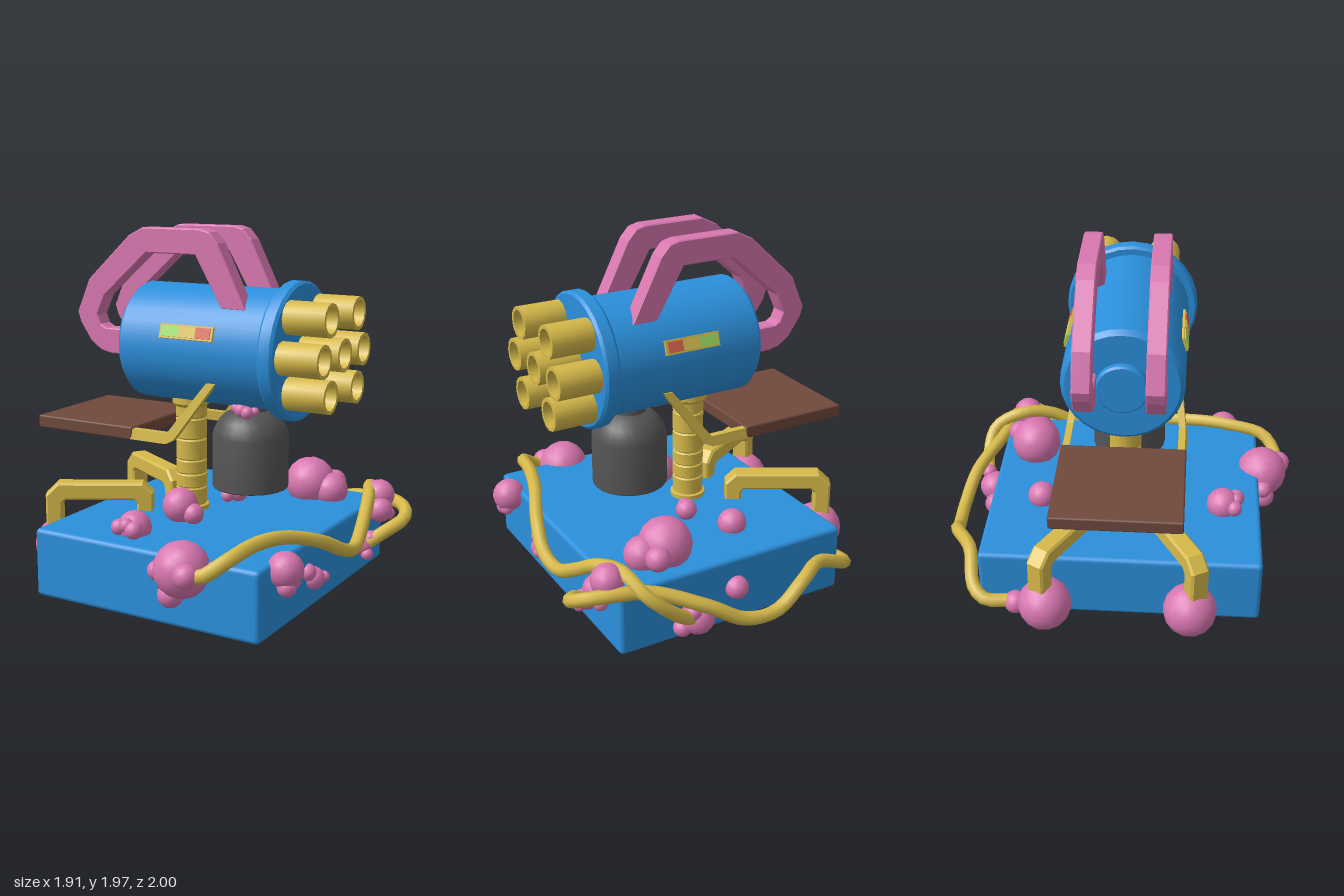
import * as THREE from 'three';
import { toCreasedNormals } from 'three/addons/utils/BufferGeometryUtils.js';
import { RoundedBoxGeometry } from 'three/addons/geometries/RoundedBoxGeometry.js';

const V = (p) => new THREE.Vector3(...p);

export function createModel() {
  const model = new THREE.Group();
  model.name = 'mountedGun';
  const paint = (name, color, flatShading = false) => {
    const m = new THREE.MeshStandardMaterial({ color });
    m.name = name;
    m.flatShading = flatShading;
    return m;
  };
  const blue = paint('blue', 0x2b90dc);
  const gold = paint('gold', 0xd6b94a);
  const pink = paint('pink', 0xd977b0);
  const coral = pink;
  const brown = paint('brown', 0x70493c);
  const grey = paint('darkGrey', 0x555454);
  const green = paint('green', 0x9fe066);
  const yellow = paint('yellow', 0xdcc455);
  const red = paint('red', 0xdc6450);

  const add = (name, geo, mat, x = 0, y = 0, z = 0, parent = model) => {
    const mesh = new THREE.Mesh(geo, mat);
    mesh.name = name;
    mesh.position.set(x, y, z);
    parent.add(mesh);
    return mesh;
  };
  const lathe = (pts, sides) =>
    toCreasedNormals(new THREE.LatheGeometry(pts.map((p) => new THREE.Vector2(...p)), sides), 0.6);
  const latheX = (pts, sides) => lathe(pts, sides).rotateZ(-Math.PI / 2);
  // outline in x/y, extruded and centred in z
  const slab = (pts, depth, bevel = 0) => {
    const g = new THREE.ExtrudeGeometry(new THREE.Shape(pts.map((p) => new THREE.Vector2(...p))), {
      depth: depth - 2 * bevel, bevelEnabled: bevel > 0, bevelSize: bevel,
      bevelOffset: -bevel, bevelThickness: bevel, bevelSegments: 1,
    });
    return g.translate(0, 0, -depth / 2 + bevel);
  };

  const C = 0.017; // z of the gun's axis
  const AX = 1.345; // height of the gun's axis

  // Base block
  add('base', new RoundedBoxGeometry(1.37, 0.38, 1.55, 2, 0.025), blue, 0.035, 0.2, 0.015);

  // Drum body, with rear cap and front flange
  add('drum', latheX([
    [0, -0.45], [0.13, -0.45], [0.14, -0.44], [0.14, -0.41], [0.3, -0.41], [0.325, -0.385],
    [0.325, 0.475], [0.36, 0.475], [0.373, 0.49], [0.373, 0.55], [0.358, 0.565], [0.33, 0.565], [0, 0.565],
  ], 28), blue, 0, AX, C);

  // Seven hollow barrels
  const barrel = latheX([[0.09, 0], [0.09, 0.24], [0.07, 0.24], [0.07, 0.07], [0, 0.07]], 12);
  const barrels = [[0.2, 0.17], [0.2, -0.17], [0, 0.25], [0, 0], [0, -0.245], [-0.195, 0.165], [-0.195, -0.17]];
  barrels.forEach(([y, z]) => add('barrel', barrel, gold, 0.562, AX + y, C + z));

  // Arched handles
  const handleOutline = [
    [-0.39, 1.28], [-0.515, 1.28], [-0.58, 1.295], [-0.645, 1.34], [-0.715, 1.44], [-0.735, 1.5], [-0.655, 1.685],
    [-0.385, 1.935], [-0.295, 1.98], [0.065, 1.98], [0.12, 1.965], [0.17, 1.91], [0.34, 1.57],
    [0.195, 1.57], [0.035, 1.845], [-0.27, 1.845], [-0.55, 1.6], [-0.6, 1.49], [-0.58, 1.44], [-0.545, 1.42], [-0.39, 1.42],
  ].reverse();
  const handle = slab(handleOutline, 0.098, 0.006);

  // Seat arm: thin bent bar leaning in towards the drum
  const armOutline = [[-0.32, 0.835], [-0.085, 0.835], [-0.04, 0.86], [0.188, 1.18], [0.135, 1.18], [-0.085, 0.893], [-0.32, 0.893]];

  // Bent bracket, outline along its own length
  const bracketOutline = [
    [-0.05, 0.22], [0.045, 0.22], [0.045, 0.43], [0.065, 0.45], [0.45, 0.45], [0.465, 0.43], [0.465, 0.37], [0.56, 0.37],
    [0.56, 0.49], [0.5, 0.548], [0.02, 0.548], [-0.05, 0.48],
  ];
  const bracket = slab(bracketOutline, 0.105, 0.012);

  for (const s of [1, -1]) {
    add('handle', handle, pink, 0, 0, C + s * 0.182);

    const arm = slab(armOutline, 0.038);
    const p = arm.attributes.position;
    for (let i = 0; i < p.count; i++) p.setZ(i, p.getZ(i) + s * (0.318 - 0.16 * (p.getY(i) - 0.86)));
    arm.computeVertexNormals();
    add('seatArm', arm, gold, 0, 0, C);

    add('bracket', bracket, gold, -0.785, 0, C + s * 0.415).rotation.y = s * Math.PI / 6;

    // Gauge: gold frame with three coloured plates
    const gauge = new THREE.Group();
    gauge.name = 'gauge';
    gauge.position.set(0.0325, AX + 0.1, C + s * 0.308);
    gauge.rotation.x = -s * 0.31;
    model.add(gauge);
    add('gaugeFrame', new THREE.BoxGeometry(0.325, 0.078, 0.024), gold, 0, 0, 0, gauge);
    [[green, -0.098], [yellow, 0.008], [red, 0.104]].forEach(([m, x], i) =>
      add('gaugePlate', new THREE.BoxGeometry([0.108, 0.104, 0.088][i], 0.058, 0.008), m, x, 0, s * 0.013, gauge));
  }

  // Seat
  add('seat', new RoundedBoxGeometry(0.645, 0.072, 0.682, 1, 0.01), brown, -0.628, 0.866, C);

  // Ringed post
  const post = [[0.1, 0.38], [0.1, 0.415], [0.086, 0.42]];
  for (const y of [0.52, 0.6, 0.68, 0.8, 0.92]) post.push([0.088, y - 0.008], [0.08, y], [0.088, y + 0.008]);
  post.push([0.088, 0.985], [0.108, 1.005], [0.108, 1.04]);
  add('post', lathe(post, 16), gold, -0.13, 0, C);

  // Hanging canister under the drum
  add('canister', lathe([
    [0, 0.57], [0.205, 0.57], [0.21, 0.576], [0.21, 0.86], [0.2, 0.9], [0.175, 0.945], [0.14, 0.98], [0.095, 1.0], [0.09, 1.04],
  ], 24), grey, 0.25, 0, C);

  // Hoses
  const hose = (pts) =>
    add('hose', new THREE.TubeGeometry(new THREE.CatmullRomCurve3(pts.map(V)), 48, 0.038, 8), gold);
  hose([
    [0.38, 0.34, 0.9], [0.47, 0.36, 0.9], [0.56, 0.43, 0.83], [0.61, 0.465, 0.61], [0.67, 0.45, 0.4], [0.76, 0.38, 0.18],
    [0.81, 0.28, -0.02], [0.8, 0.25, -0.18], [0.77, 0.33, -0.35], [0.73, 0.43, -0.52], [0.67, 0.46, -0.68],
    [0.61, 0.38, -0.85], [0.45, 0.24, -0.88], [0.32, 0.16, -0.84],
  ]);
  hose([
    [0.76, 0.19, -0.42], [0.85, 0.26, -0.49], [0.92, 0.32, -0.6], [0.89, 0.36, -0.68], [0.78, 0.38, -0.74], [0.56, 0.36, -0.79],
    [0.3, 0.27, -0.92], [0.1, 0.16, -0.97], [-0.1, 0.15, -0.97], [-0.28, 0.26, -0.94], [-0.45, 0.27, -0.84],
    [-0.66, 0.18, -0.79], [-0.72, 0.14, -0.72], [-0.71, 0.13, -0.58],
  ]);

  // Clustered growths: x, y, z, radius
  const ball = new THREE.IcosahedronGeometry(1, 2);
  const clusters = {
    frontGrowth: [[0.3, 0.34, 0.815, 0.148], [0.385, 0.35, 0.92, 0.066], [0.155, 0.31, 0.82, 0.052], [0.24, 0.2, 0.83, 0.068]],
    sideGrowth: [[-0.775, 0.18, 0.405, 0.146], [-0.775, 0.18, -0.38, 0.146], [-0.71, 0.12, -0.55, 0.065], [-0.64, 0.09, 0.47, 0.06]],
    topGrowth: [
      [-0.13, 0.42, -0.465, 0.08], [-0.145, 0.42, 0.575, 0.092], [-0.2, 0.43, 0.64, 0.045], [-0.1, 0.43, 0.65, 0.05],
      [-0.145, 0.45, 0.65, 0.04], [-0.06, 0.47, 0.25, 0.1], [0.035, 0.44, 0.27, 0.058], [0.03, 0.44, -0.24, 0.06], [0.0, 0.43, -0.17, 0.04],
    ],
    backTopGrowth: [[0.345, 0.47, -0.555, 0.147], [0.48, 0.44, -0.55, 0.1], [0.45, 0.46, -0.67, 0.068]],
    leftGrowth: [
      [0.76, 0.35, 0.585, 0.095], [0.78, 0.27, 0.61, 0.05], [0.79, 0.28, 0.55, 0.035],
      [0.73, 0.18, 0.2, 0.062], [0.72, 0.225, 0.25, 0.048], [0.77, 0.18, 0.15, 0.03],
      [0.74, 0.18, -0.42, 0.06], [0.78, 0.22, -0.45, 0.045], [0.78, 0.14, -0.4, 0.035],
      [0.74, 0.42, -0.66, 0.09], [0.77, 0.35, -0.6, 0.075], [0.79, 0.31, -0.68, 0.04],
    ],
    backGrowth: [[0.3, 0.15, -0.82, 0.092], [0.38, 0.1, -0.8, 0.05], [0.35, 0.22, -0.86, 0.045], [0.03, 0.22, -0.77, 0.065]],
    canisterGrowth: [[0.26, 1.02, 0.14, 0.04], [0.3, 1.01, 0.15, 0.035], [0.22, 1.025, 0.12, 0.03], [0.33, 1.015, 0.12, 0.025]],
  };
  for (const [name, balls] of Object.entries(clusters)) {
    const cluster = new THREE.Group();
    cluster.name = name;
    model.add(cluster);
    for (const [x, y, z, r] of balls) add('growth', ball, coral, x, y, z, cluster).scale.setScalar(r);
  }
  return model;
}
